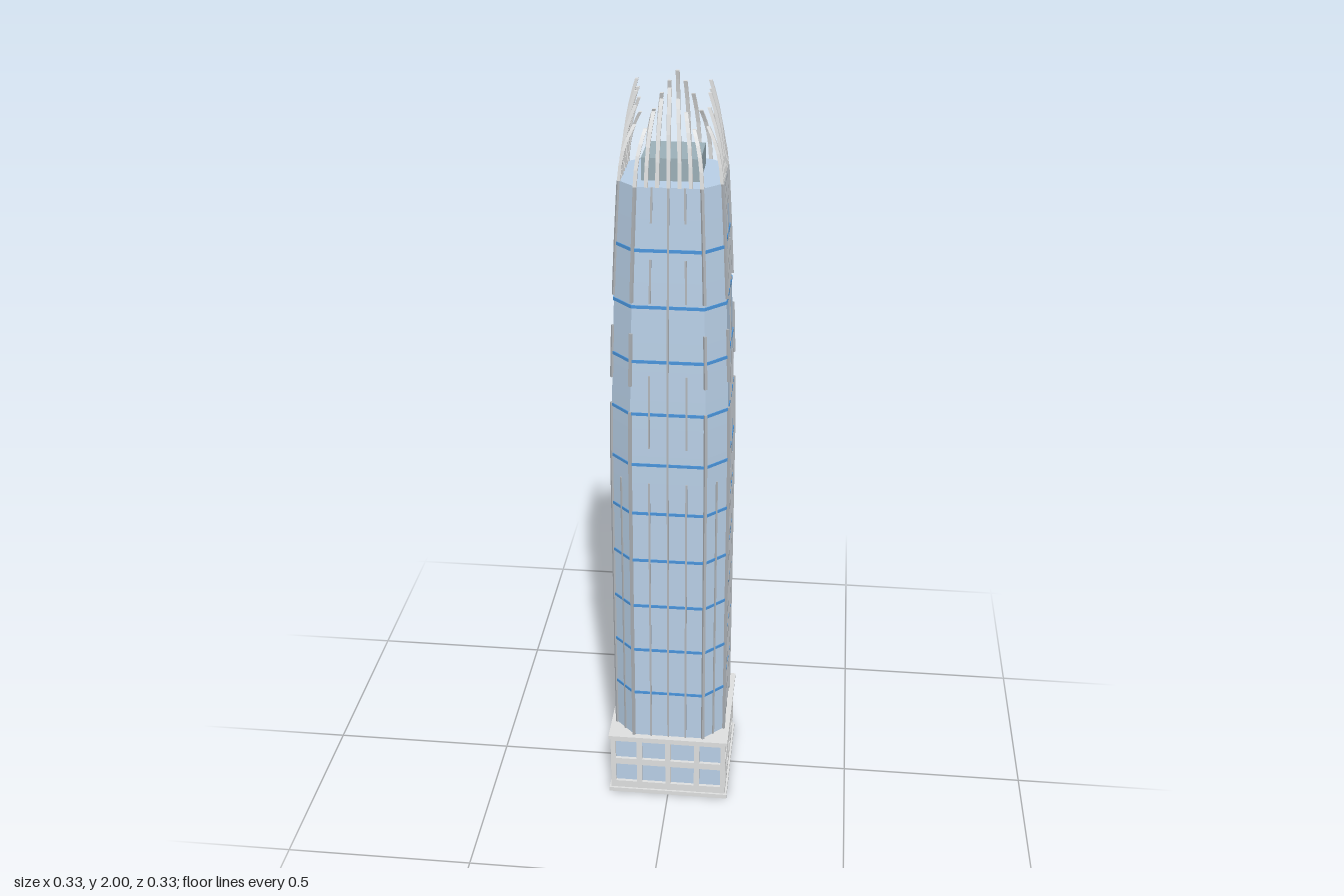
import * as THREE from 'three';
import { mergeGeometries } from 'three/addons/utils/BufferGeometryUtils.js';

const mat = (name, color) => {
  const m = new THREE.MeshStandardMaterial({ color });
  m.name = name;
  return m;
};

// Flat-faced solid through rings of points (each ring counter-clockwise from above), bottom to top
function loft(rings) {
  const out = [];
  const tri = (a, b, c) => out.push(...a, ...b, ...c);
  const n = rings[0].length;
  for (let j = 0; j < rings.length - 1; j++) {
    for (let i = 0; i < n; i++) {
      const k = (i + 1) % n, a = rings[j], b = rings[j + 1];
      tri(a[i], a[k], b[k]);
      tri(a[i], b[k], b[i]);
    }
  }
  const lo = rings[0], hi = rings[rings.length - 1];
  for (let i = 1; i < n - 1; i++) {
    tri(hi[0], hi[i], hi[i + 1]);
    tri(lo[0], lo[i + 1], lo[i]);
  }
  const g = new THREE.BufferGeometry();
  g.setAttribute('position', new THREE.Float32BufferAttribute(out, 3));
  g.computeVertexNormals();
  return g;
}

// Rectangular bar following a rising path; (nx, nz) is the outward direction
function bar(path, nx, nz, w, d) {
  const sx = nz, sz = -nx;
  return loft(path.map(([x, y, z]) =>
    [[-1, 1], [1, 1], [1, -1], [-1, -1]].map(([s, n]) =>
      [x + (sx * s * w + nx * n * d) / 2, y, z + (sz * s * w + nz * n * d) / 2])));
}

const box = (w, h, d, x, y, z) => new THREE.BoxGeometry(w, h, d).translate(x, y, z);

// Chamfered square tower plan and its tapering half width
const K = 0.64, Y0 = 0.195, Y1 = 1.775, TAPER = 1.0;
const PLAN = [[-K, 1], [K, 1], [1, K], [1, -K], [K, -1], [-K, -1], [-1, -K], [-1, K]];
const radius = y => 0.15 - 0.027 * Math.pow(Math.max(0, (y - TAPER) / (Y1 - TAPER)), 1.8);
const ring = (y, extra = 0) => PLAN.map(([x, z]) => [x * (radius(y) + extra), y, z * (radius(y) + extra)]);
const levels = (a, b) => {
  const ys = [a];
  for (let y = TAPER; y < b; y += 0.0775) if (y > a + 0.001 && y < b - 0.001) ys.push(y);
  return [...ys, b];
};

export function createModel() {
  const glass = mat('pale blue glass', 0xb8cfe6);
  const stone = mat('light grey stone', 0xdedfdf);
  const blue = mat('blue band', 0x4a94da);
  const steel = mat('grey steel', 0xb0b5ba);
  const roofMat = mat('grey green roof', 0x9bb0b8);

  const group = new THREE.Group();
  group.name = 'skyscraper';
  const add = (name, geos, material) => {
    const mesh = new THREE.Mesh(geos.length > 1 ? mergeGeometries(geos) : geos[0], material);
    mesh.name = name;
    group.add(mesh);
  };

  // Podium: glass core behind a stone grid
  add('podiumGlass', [box(0.306, 0.18, 0.306, 0, 0.1, 0)], glass);
  const frame = [box(0.334, 0.013, 0.334, 0, 0.0065, 0), box(0.334, 0.01, 0.334, 0, 0.19, 0)];
  for (let s = 0; s < 4; s++) {
    const side = [];
    for (let i = -2; i <= 2; i++) {
      const edge = Math.abs(i) === 2;
      side.push(box(edge ? 0.014 : 0.015, 0.18, 0.012, i * (edge ? 0.0775 : 0.081), 0.1, 0.156));
    }
    for (const [y, h] of [[0.024, 0.022], [0.105, 0.02], [0.181, 0.012]])
      side.push(box(0.322, h, 0.011, 0, y, 0.156));
    side.forEach(g => frame.push(g.rotateY(s * Math.PI / 2)));
  }
  add('podiumFrame', frame, stone);

  // Glass shaft
  add('towerShaft', [loft(levels(Y0, Y1).map(y => ring(y)))], glass);

  // Horizontal floor bands
  const bands = [];
  for (let i = 0; i < 10; i++) {
    const y = 0.341 + i * 0.1423;
    bands.push(loft([ring(y - 0.004, 0.002), ring(y + 0.004, 0.002)]));
  }
  add('floorBands', bands, blue);

  // Vertical mullions, broken into lengths on the taper
  const mullions = [];
  const mullion = (px, pz, nx, nz, w, d, spans) => {
    for (const [a, b] of spans)
      mullions.push(bar(levels(a, b).map(y => [px * radius(y), y, pz * radius(y)]), nx, nz, w, d));
  };
  const cornerSpans = [[Y0, 1.2], [1.27, 1.41], [1.49, Y1]];
  const baySpans = [[Y0, 1.0], [1.1, 1.3], [1.49, 1.6], [1.69, Y1]];
  PLAN.forEach(([ax, az], i) => {
    const [bx, bz] = PLAN[(i + 1) % 8];
    const mx = (ax + bx) / 2, mz = (az + bz) / 2, l = Math.hypot(mx, mz);
    const nx = mx / l, nz = mz / l;
    const cl = Math.hypot(ax, az);
    mullion(ax, az, ax / cl, az / cl, 0.007, 0.009, cornerSpans);
    mullion(mx, mz, nx, nz, 0.005, 0.006, [[Y0, i % 2 ? TAPER : Y1]]);
    if (i % 2 === 0) {
      for (const t of [0.25, 0.75])
        mullion(ax + (bx - ax) * t, az + (bz - az) * t, nx, nz, 0.005, 0.007, baySpans);
    }
  });
  add('mullions', mullions, steel);

  // Roof core
  add('roofCore', [box(0.142, 0.055, 0.142, 0, Y1 + 0.0275, 0)], roofMat);

  // Crown of inward curving fins, tallest in the middle of each side
  const fins = [], tips = [2.0, 1.975, 1.945, 1.905];
  const profile = [[0, 0.123], [0.3, 0.119], [0.55, 0.112], [0.75, 0.103], [0.9, 0.094], [1, 0.087]];
  for (let s = 0; s < 4; s++) {
    for (let i = -3; i <= 3; i++) {
      const h = tips[Math.abs(i)] - Y1;
      const path = profile.map(([t, r]) => {
        const lean = (0.123 - r) / 0.036;
        return [i * (0.0265 - 0.0075 * lean), Y1 + t * h, r];
      });
      fins.push(bar(path, 0, 1, 0.009, 0.008).rotateY(s * Math.PI / 2));
    }
  }
  add('crownFins', fins, stone);

  return group;
}
